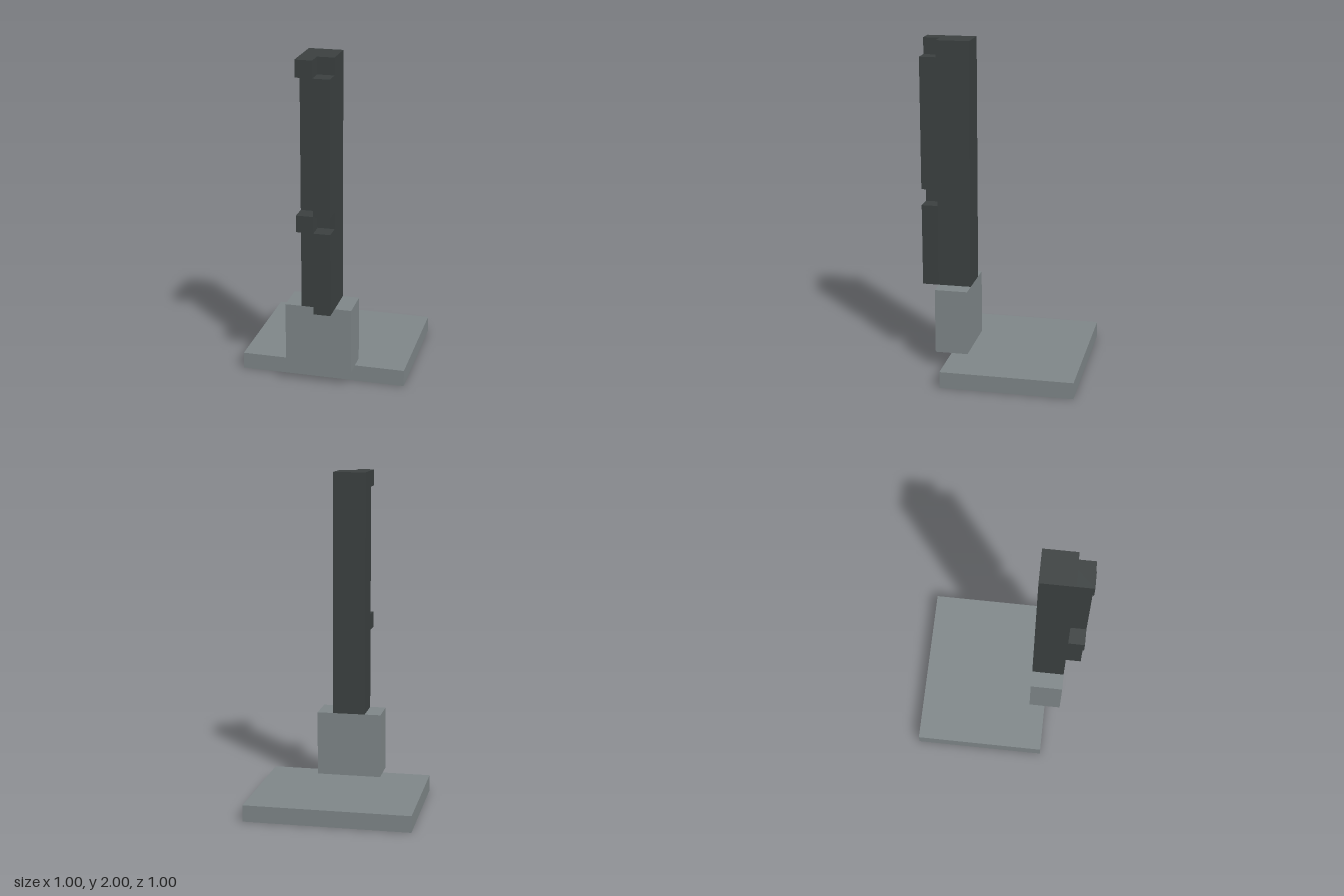
import * as THREE from 'three';

const lightGrey = new THREE.MeshStandardMaterial({ name: 'lightGrey', color: 0x7e8688 });
const darkGrey = new THREE.MeshStandardMaterial({ name: 'darkGrey', color: 0x3b4040 });

// Box given by its low and high corner
function box(name, material, [x0, y0, z0], [x1, y1, z1]) {
  const mesh = new THREE.Mesh(new THREE.BoxGeometry(x1 - x0, y1 - y0, z1 - z0), material);
  mesh.name = name;
  mesh.position.set((x0 + x1) / 2, (y0 + y1) / 2, (z0 + z1) / 2);
  return mesh;
}

export function createModel() {
  const model = new THREE.Group();
  model.name = 'stand';

  // Base slab and the socket block that overhangs its front edge
  model.add(box('base', lightGrey, [-0.5, 0, -0.5], [0.5, 0.1, 0.3]));
  model.add(box('socket', lightGrey, [-0.2, 0.1, 0.2], [0.2, 0.5, 0.4]));

  // Upright post
  model.add(box('post', darkGrey, [-0.1, 0.5, 0.2], [0.1, 2, 0.4]));

  // Front rail on the left half, broken by two notches
  for (const [y0, y1] of [[0.5, 1], [1.1, 1.9]]) {
    model.add(box('rail', darkGrey, [0, y0, 0.4], [0.1, y1, 0.5]));
  }

  // Pegs on the right half, level with the notches
  for (const y of [1, 1.9]) {
    model.add(box('peg', darkGrey, [-0.1, y, 0.4], [0, y + 0.1, 0.5]));
  }
  return model;
}
